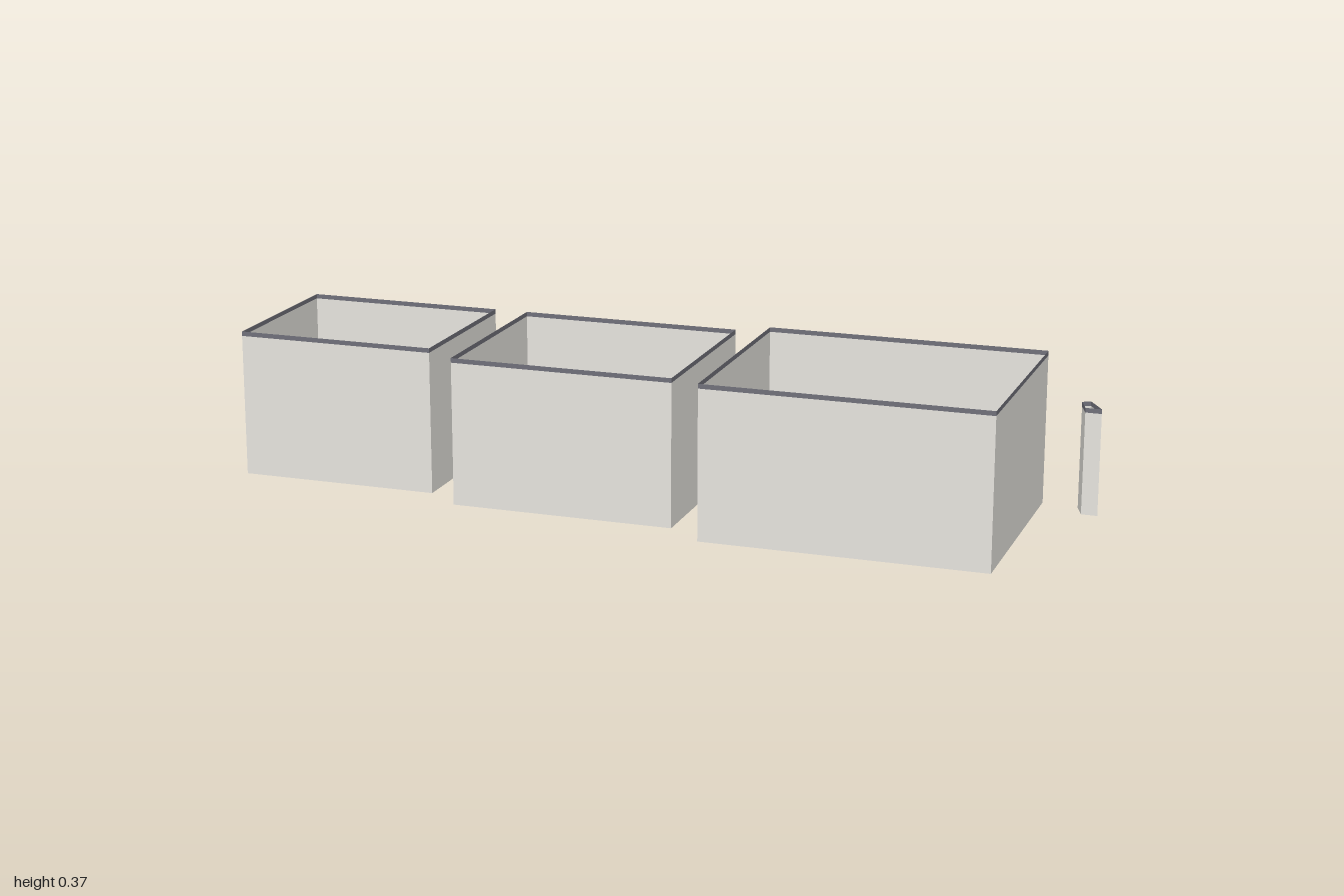
import * as THREE from 'three';

const mat = (name, color, side = THREE.FrontSide) => {
  const m = new THREE.MeshStandardMaterial({ color, side });
  m.name = name;
  return m;
};

export function createModel() {
  const model = new THREE.Group();
  const plaster = mat('plaster', 0xe8e6e0, THREE.DoubleSide);
  const trim = mat('dark trim', 0x70707a, THREE.DoubleSide);
  const wood = mat('wood', 0xc2a27d, THREE.DoubleSide);
  const rugPink = mat('rug pink', 0xe5bab3);
  const blue = mat('blanket blue', 0x80a1ca);
  const linen = mat('linen', 0xe4e3df);

  // Box given by its minimum and maximum corners
  const box = (parent, name, material, x0, x1, y0, y1, z0, z1) => {
    const mesh = new THREE.Mesh(new THREE.BoxGeometry(x1 - x0, y1 - y0, z1 - z0), material);
    mesh.position.set((x0 + x1) / 2, (y0 + y1) / 2, (z0 + z1) / 2);
    mesh.name = name;
    parent.add(mesh);
  };

  // Paper-thin upright panel between two floor points
  const panel = (parent, name, material, [ax, az], [bx, bz], y0, y1) => {
    const mesh = new THREE.Mesh(
      new THREE.PlaneGeometry(Math.hypot(bx - ax, bz - az), y1 - y0), material);
    mesh.position.set((ax + bx) / 2, (y0 + y1) / 2, (az + bz) / 2);
    mesh.rotation.y = -Math.atan2(bz - az, bx - ax);
    mesh.name = name;
    parent.add(mesh);
  };

  // Open-topped room: floor, walls and a dark strip along the wall tops.
  // Corners run front left, front right, back right, back left.
  const room = (name, corners, height) => {
    const g = new THREE.Group();
    g.name = name;
    const shape = new THREE.Shape(corners.map(([x, z]) => new THREE.Vector2(x, -z)));
    const floor = new THREE.Mesh(new THREE.ShapeGeometry(shape), wood);
    floor.rotation.x = -Math.PI / 2;
    floor.name = 'floor';
    g.add(floor);
    corners.forEach((a, i) => {
      const b = corners[(i + 1) % corners.length];
      panel(g, 'wall', plaster, a, b, 0, height - 0.011);
      panel(g, 'wallTrim', trim, a, b, height - 0.011, height);
    });
    model.add(g);
    return g;
  };
  const rect = (x0, x1, z0, z1) => [[x0, z1], [x1, z1], [x1, z0], [x0, z0]];

  const small = room('smallRoom', rect(-1, -0.515, -0.27, 0.135), 0.353);
  box(small, 'rug', rugPink, -0.905, -0.61, 0.001, 0.004, -0.173, 0.037);

  const bedroom = room('bedroom', rect(-0.432, 0.104, -0.27, 0.2), 0.353);
  box(bedroom, 'rug', rugPink, -0.295, -0.033, 0.001, 0.004, -0.016, 0.11);

  const large = room('largeRoom', rect(0.19, 0.86, -0.27, 0.27), 0.366);
  box(large, 'rug', rugPink, 0.337, 0.715, 0.001, 0.004, -0.14, 0.138);

  // Narrow skewed shaft beside the large room
  room('shaft', [[0.962, -0.21], [1, -0.21], [0.963, -0.27], [0.945, -0.258]], 0.255);

  // Bed
  const bed = new THREE.Group();
  bed.name = 'bed';
  box(bed, 'bedFrame', wood, -0.27, -0.058, 0, 0.035, -0.25, 0);
  box(bed, 'headboard', wood, -0.28, -0.05, 0, 0.128, -0.26, -0.25);
  box(bed, 'mattress', linen, -0.268, -0.06, 0.035, 0.07, -0.25, -0.003);
  box(bed, 'blanket', blue, -0.27, -0.058, 0.05, 0.076, -0.182, -0.015);
  for (const x of [-0.246, -0.138]) {
    box(bed, 'pillow', linen, x, x + 0.054, 0.07, 0.086, -0.246, -0.2);
  }
  bedroom.add(bed);

  // Nightstands on both sides of the bed, and a wardrobe on the right wall
  for (const x of [-0.332, -0.048]) {
    box(bedroom, 'nightstand', wood, x, x + 0.05, 0, 0.07, -0.257, -0.207);
  }
  box(bedroom, 'wardrobe', wood, -0.429, -0.353, 0, 0.275, -0.05, 0.165);

  return model;
}
